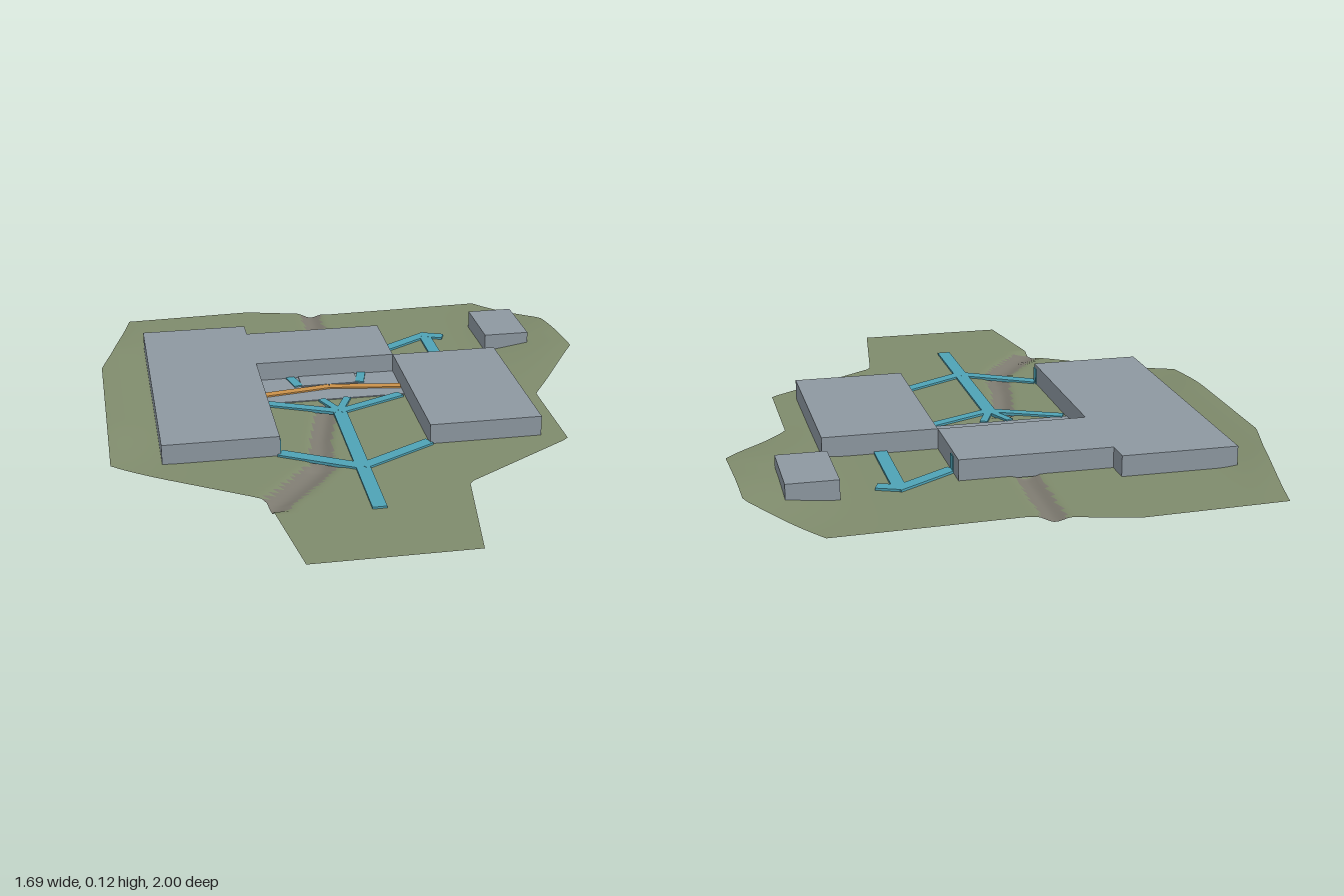
import * as THREE from 'three';

const mat = (name, color, side = THREE.FrontSide) => {
  const m = new THREE.MeshStandardMaterial({ color, side });
  m.name = name;
  return m;
};
const grass = mat('grass', 0x7f8b6c, THREE.DoubleSide);
const bed = mat('stream bed', 0x7d7a70, THREE.DoubleSide);
const concrete = mat('concrete', 0x8d98a1);
const teal = mat('teal paving', 0x4fa3b6);
const orange = mat('orange ramp', 0xcb924a);

// Linear interpolation through [key, value] points
function along(points, t) {
  for (let i = 1; i < points.length; i++) {
    const [a, va] = points[i - 1], [b, vb] = points[i];
    if (t <= b) return THREE.MathUtils.lerp(va, vb, Math.max(0, (t - a) / (b - a)));
  }
  return points[points.length - 1][1];
}

// Plot outline: x of each side by z, z of the back edge by x, x of the stream by z
const leftEdge = [[-0.9, -0.73], [-0.45, -0.85], [0.3, -0.85], [0.59, -0.4], [1, -0.34]];
const rightEdge = [[-0.9, 0.62], [-0.66, 0.82], [-0.35, 0.84], [-0.03, 0.62], [0.34, 0.62], [0.59, 0.23], [1, 0.17]];
const backEdge = [[-0.73, -0.98], [-0.27, -1], [0.04, -0.92], [0.62, -0.94]];
const stream = [[-1, -0.03], [-0.6, -0.04], [-0.1, -0.1], [0.2, -0.17], [0.4, -0.2], [0.52, -0.29], [0.64, -0.39]];

const inStream = (z) => (z < -0.59 || z > -0.06) && z < 0.66;
const streamHalf = (z) => (z > 0.4 ? 0.06 : 0.036);

function height(x, z) {
  const s = THREE.MathUtils.smoothstep;
  let y = 0.051 + 0.033 * s(-x, 0.62, 0.87) * s(-z, -0.45, 0) * (1 - s(-z, 0.6, 1));
  y += 0.04 * s(x, 0.45, 0.84) * s(-z, -0.05, 0.4) * (1 - s(-z, 0.5, 0.95));
  if (inStream(z)) y -= 0.015 * (1 - s(Math.abs(x - along(stream, z)), 0.0, streamHalf(z) * 1.4));
  return y;
}

// Rolling ground sheet, with the stream bed as a second material group
function terrain() {
  const rows = 100, cols = 110, pos = [], green = [], brown = [];
  for (let j = 0; j <= rows; j++) {
    const row = -0.9 + (1.9 * j) / rows;
    for (let i = 0; i <= cols; i++) {
      const x = THREE.MathUtils.lerp(along(leftEdge, row), along(rightEdge, row), i / cols);
      const z = row < -0.6 ? THREE.MathUtils.lerp(-0.6, along(backEdge, x), (-0.6 - row) / 0.3) : row;
      pos.push(x, height(x, z), z);
    }
  }
  for (let j = 0; j < rows; j++) for (let i = 0; i < cols; i++) {
    const a = j * (cols + 1) + i, b = a + 1, c = a + cols + 1, d = c + 1;
    const x = (pos[a * 3] + pos[d * 3]) / 2, z = (pos[a * 3 + 2] + pos[d * 3 + 2]) / 2;
    const wet = inStream(z) && Math.abs(x - along(stream, z)) < streamHalf(z);
    (wet ? brown : green).push(a, c, b, b, c, d);
  }
  const g = new THREE.BufferGeometry();
  g.setAttribute('position', new THREE.Float32BufferAttribute(pos, 3));
  g.setIndex([...green, ...brown]);
  g.addGroup(0, green.length, 0);
  g.addGroup(green.length, brown.length, 1);
  g.computeVertexNormals();
  const mesh = new THREE.Mesh(g, [grass, bed]);
  mesh.name = 'ground';
  return mesh;
}

// Box given by its limits
function block(name, m, x0, x1, y0, y1, z0, z1) {
  const mesh = new THREE.Mesh(new THREE.BoxGeometry(x1 - x0, y1 - y0, z1 - z0), m);
  mesh.position.set((x0 + x1) / 2, (y0 + y1) / 2, (z0 + z1) / 2);
  mesh.name = name;
  return mesh;
}

// Straight strip or wall between two plan points
function strip(name, m, [ax, az], [bx, bz], width, y0, y1) {
  const mesh = new THREE.Mesh(new THREE.BoxGeometry(Math.hypot(bx - ax, bz - az), y1 - y0, width), m);
  mesh.position.set((ax + bx) / 2, (y0 + y1) / 2, (az + bz) / 2);
  mesh.rotation.y = -Math.atan2(bz - az, bx - ax);
  mesh.name = name;
  return mesh;
}

export function createModel() {
  const model = new THREE.Group();
  model.add(terrain());

  // Building wings and the outbuilding
  const base = 0.045, top = 0.118;
  model.add(
    block('westWing', concrete, -0.69, -0.317, base, top, -0.68, 0.3),
    block('backWing', concrete, -0.317, 0.17, base, top, -0.6, -0.31),
    block('eastWing', concrete, 0.17, 0.54, base, top, -0.31, 0.3),
    block('outbuilding', concrete, 0.54, 0.7, 0.05, top, -0.68, -0.43),
    block('courtyardFloor', concrete, -0.317, 0.17, 0.046, 0.054, -0.31, -0.105),
    block('courtyardStep', concrete, -0.17, 0.03, 0.05, 0.058, -0.31, -0.225),
  );

  // Sunken retaining walls under the wings
  const wall = [[0.172, -0.175], [0.172, -0.31], [-0.317, -0.31], [-0.317, -0.465], [-0.69, -0.465]];
  for (let i = 1; i < wall.length; i++)
    model.add(strip('retainingWall', concrete, wall[i - 1], wall[i], 0.006, 0, 0.047));
  model.add(block('lowerDoor', orange, -0.5, -0.46, 0.003, 0.046, -0.49, -0.462));

  // Chevron ramp across the courtyard, with sunken ends
  const peak = [-0.075, -0.207];
  for (const [inner, outer] of [[[0.17, -0.17], [0.355, -0.11]], [[-0.317, -0.17], [-0.5, -0.11]]]) {
    model.add(strip('ramp', orange, peak, inner, 0.03, 0.05, 0.059));
    model.add(strip('rampEnd', orange, inner, outer, 0.02, 0.003, 0.046));
  }

  // Paved paths: start, end, width
  const paths = [
    [[-0.075, 0.71], [-0.075, -0.01], 0.045],
    [[-0.075, 0.43], [-0.317, 0.29], 0.04],
    [[-0.075, 0.43], [0.17, 0.29], 0.04],
    [[-0.075, 0.005], [-0.305, -0.1], 0.034],
    [[-0.075, 0.005], [0.155, -0.1], 0.034],
    [[-0.075, 0.0], [-0.12, -0.104], 0.025],
    [[-0.075, 0.0], [-0.03, -0.104], 0.025],
    [[0.355, -0.31], [0.355, -0.635], 0.042],
    [[0.365, -0.635], [0.17, -0.51], 0.04],
    [[0.345, -0.63], [0.42, -0.6], 0.04],
    [[-0.2, -0.31], [-0.18, -0.228], 0.03],
    [[0.055, -0.31], [0.035, -0.228], 0.03],
  ];
  paths.forEach(([a, b, w], i) => model.add(strip('path', teal, a, b, w, 0.048, 0.0575 + i * 0.0001)));

  // Side doors where the paths reach the wings
  model.add(
    block('westDoor', teal, -0.319, -0.314, 0.05, 0.105, 0.268, 0.298),
    block('backDoor', teal, 0.168, 0.173, 0.05, 0.105, -0.53, -0.5),
  );
  return model;
}
